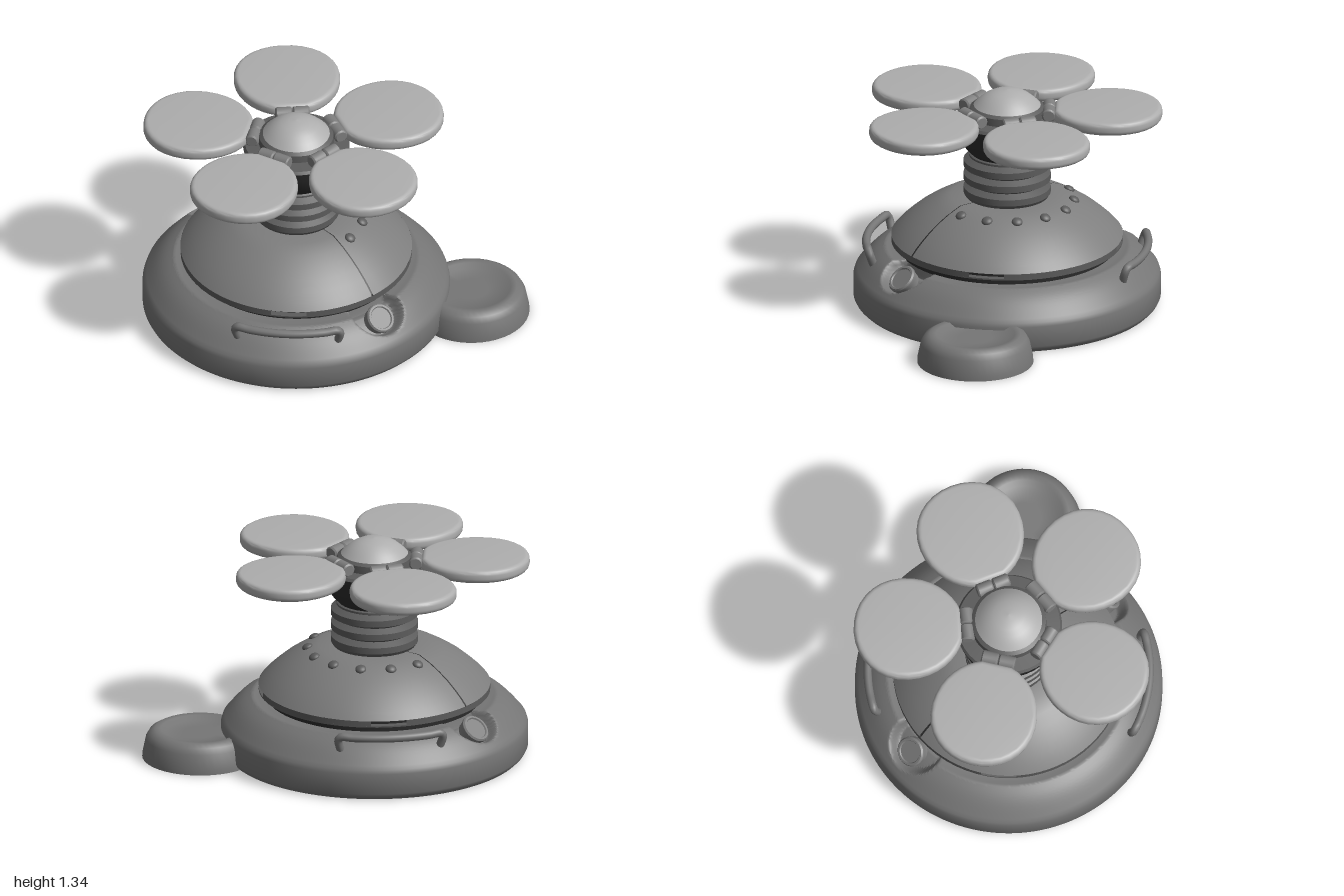
import * as THREE from 'three';
import { toCreasedNormals, mergeVertices } from 'three/addons/utils/BufferGeometryUtils.js';

const paint = (color) => new THREE.MeshStandardMaterial({ color, side: THREE.DoubleSide });
const baseGrey = paint(0x767676);
const domeGrey = paint(0x7e7e7e);
const neckGrey = paint(0x5c5c5c);
const petalGrey = paint(0xaeaeae);
const dark = paint(0x2c2c2c);

function add(parent, name, geometry, material) {
  const mesh = new THREE.Mesh(geometry, material);
  mesh.name = name;
  parent.add(mesh);
  return mesh;
}

// Turned part from [radius, height] points, optionally only an arc of it
function turned(points, segments = 48, start = 0, length = Math.PI * 2) {
  return new THREE.LatheGeometry(points.map(([r, y]) => new THREE.Vector2(r, y)), segments, start, length);
}
const crease = (g, angle = 0.5) => toCreasedNormals(g, angle);

// Point at an angle around the axis, 0 = front
const polar = (angle, r, y) => new THREE.Vector3(r * Math.sin(angle), y, r * Math.cos(angle));

// Open base shell; its shoulder sinks into a pocket at the front and the back
function baseGeometry() {
  const profile = [[0.885, 0], [0.905, 0.02], [0.915, 0.04], [0.915, 0.165], [0.907, 0.19]];
  for (let i = 0; i <= 24; i++) {
    const t = i / 24;
    profile.push([0.89 - 0.16 * t, 0.21 + 0.135 * t + 0.016 * Math.sin(Math.PI * t)]);
  }
  profile.push([0.715, 0.344], [0.70, 0.342], [0.68, 0.341], [0.63, 0.34]);
  const g = turned(profile, 400);
  const p = g.attributes.position;
  const v = new THREE.Vector3();
  for (let i = 0; i < p.count; i++) {
    v.fromBufferAttribute(p, i);
    const side = v.z < 0 ? -1 : 1;
    const d = Math.hypot(v.x, v.y - 0.345, v.z - side * 0.73);
    const rim = THREE.MathUtils.smoothstep(Math.hypot(v.x, v.z), 0.64, 0.70);
    const push = 0.085 * rim * (1 - THREE.MathUtils.smoothstep(d, 0.14, 0.178));
    p.setXYZ(i, v.x, v.y - push * 0.76, v.z - side * push * 0.65);
  }
  return crease(g, 1);
}

// Side lug: a hollow dished cup whose inner side follows the base wall
function lugGeometry() {
  const g = turned([[0.346, 0], [0.344, 0.03], [0.325, 0.12], [0.305, 0.155], [0.27, 0.175],
    [0.235, 0.173], [0.205, 0.15], [0.1, 0.15], [0, 0.15]], 48);
  g.translate(0.739, 0, 0.739);
  const p = g.attributes.position;
  for (let i = 0; i < p.count; i++) {
    const r = Math.hypot(p.getX(i), p.getZ(i));
    if (r < 0.88) p.setXYZ(i, p.getX(i) * 0.88 / r, p.getY(i), p.getZ(i) * 0.88 / r);
  }
  return crease(g, 0.8);
}

// Petal outline pointing along +y, before its rounded edge is added
function petalShape() {
  const s = new THREE.Shape();
  s.moveTo(-0.085, 0.31);
  s.bezierCurveTo(-0.18, 0.34, -0.289, 0.45, -0.289, 0.617);
  s.bezierCurveTo(-0.289, 0.785, -0.16, 0.897, 0, 0.897);
  s.bezierCurveTo(0.16, 0.897, 0.289, 0.785, 0.289, 0.617);
  s.bezierCurveTo(0.289, 0.45, 0.18, 0.34, 0.085, 0.31);
  s.closePath();
  return s;
}

function petalGeometry() {
  const g = new THREE.ExtrudeGeometry(petalShape(), {
    depth: 0.022, bevelThickness: 0.028, bevelSize: 0.028, bevelSegments: 4, curveSegments: 8,
  });
  g.rotateX(Math.PI / 2);
  g.deleteAttribute('normal');
  g.deleteAttribute('uv');
  return crease(mergeVertices(g), 0.7);
}

export function createModel() {
  const model = new THREE.Group();
  model.name = 'flowerDevice';
  const body = new THREE.Group();
  body.name = 'body';
  body.position.set(-0.085, 0, -0.085);
  model.add(body);

  add(body, 'baseShell', baseGeometry(), baseGrey);
  add(body, 'sideLug', lugGeometry(), baseGrey);

  // Plate closing the dome from below, groove wall and underside of the dome rim
  add(body, 'domeCore', crease(turned([[0, 0.335], [0.645, 0.335], [0.65, 0.42], [0.69, 0.42]], 64)), dark);

  // Dome in two halves, with a dark strip behind the seam at front and back
  const dome = [[0.69, 0.42], [0.655, 0.46], [0.61, 0.502], [0.555, 0.548], [0.49, 0.592],
    [0.42, 0.632], [0.335, 0.668], [0.2, 0.668]];
  const lining = dome.map(([r, y]) => [r - 0.006, y - 0.006]);
  for (const start of [0, Math.PI]) {
    add(body, 'domeHalf', crease(turned(dome, 36, start + 0.009, Math.PI - 0.018)), domeGrey);
    add(body, 'seamStrip', turned(lining, 2, start - 0.03, 0.06), dark);
  }

  // Rim skirt: a thin lip with four arcs above it, leaving slots on the diagonals
  add(body, 'domeLip', crease(turned([[0.65, 0.381], [0.69, 0.381], [0.69, 0.39], [0.65, 0.39]], 64)), neckGrey);
  for (let i = 0; i < 4; i++) {
    const half = Math.PI / 4 - 0.155;
    add(body, 'domeRim', turned([[0.69, 0.39], [0.69, 0.42]], 18,
      i * Math.PI / 2 - half, half * 2), neckGrey);
  }

  // Row of studs along the left side of the dome
  for (let i = 0; i < 7; i++) {
    const angle = THREE.MathUtils.degToRad(12 + 26 * i);
    const stud = add(body, 'stud', new THREE.SphereGeometry(0.033, 16, 10), neckGrey);
    stud.scale.y = 0.6;
    stud.position.copy(polar(angle, 0.4, 0.643));
    stud.rotation.set(0.45, angle, 0, 'YXZ');
  }

  // Tilted round buttons sitting in the pockets
  const button = crease(turned([[0.08, -0.05], [0.083, -0.015], [0.09, 0], [0.09, 0.012], [0.082, 0.022],
    [0.07, 0.022], [0.065, 0.014], [0, 0.014]], 32));
  for (const angle of [0, Math.PI]) {
    const b = add(body, 'button', button, domeGrey);
    b.position.copy(polar(angle, 0.755, 0.287));
    b.rotation.set(0.76, angle, 0, 'YXZ');
  }

  // Curved carrying handles on two opposite diagonals
  for (const mid of [-Math.PI / 4, Math.PI * 3 / 4]) {
    const path = [polar(mid - 0.37, 0.80, 0.25), polar(mid - 0.385, 0.835, 0.345)];
    for (let i = -4; i <= 4; i++) path.push(polar(mid + i * 0.0915, 0.84, 0.367));
    path.push(polar(mid + 0.385, 0.835, 0.345), polar(mid + 0.37, 0.80, 0.25));
    const curve = new THREE.CatmullRomCurve3(path, false, 'centripetal');
    add(body, 'handle', new THREE.TubeGeometry(curve, 48, 0.025, 12), baseGrey);
  }

  // Bellows neck: three ribs with narrow waists
  const neck = [];
  for (let i = 0; i < 3; i++) {
    const y = 0.665 + i * 0.085;
    neck.push([i ? 0.216 : 0.245, y], [0.26, y + 0.023], [0.26, y + 0.062], [0.216, y + 0.085]);
  }
  neck.push([0.228, 0.925], [0.228, 0.937], [0.214, 0.945]);
  add(body, 'bellowsNeck', crease(turned(neck, 40), 0.4), neckGrey);

  // Flower cup, its rim and the rounded centre
  add(body, 'flowerCup', turned([[0.214, 0.94], [0.25, 0.978], [0.288, 1.035],
    [0.308, 1.1], [0.318, 1.155]], 40), dark);
  add(body, 'flowerCollar', crease(turned([[0.318, 1.155], [0.306, 1.172], [0.225, 1.18],
    [0.222, 1.225], [0.2, 1.24]], 40)), neckGrey);
  add(body, 'flowerCentre', turned([[0.2, 1.24], [0.172, 1.268], [0.135, 1.298], [0.092, 1.32],
    [0.045, 1.332], [0, 1.336]], 40), petalGrey);

  // Five petals with shaded undersides, each on a two-knuckle hinge
  const petal = petalGeometry();
  const underside = new THREE.ShapeGeometry(petalShape(), 8).rotateX(Math.PI / 2);
  const knuckle = crease(turned([[0, -0.05], [0.033, -0.05], [0.042, -0.042], [0.042, 0.042],
    [0.033, 0.05], [0, 0.05]], 16), 0.6).rotateZ(Math.PI / 2);
  for (let i = 0; i < 5; i++) {
    const arm = new THREE.Group();
    arm.name = 'petalArm';
    arm.rotation.y = i * Math.PI * 2 / 5;
    body.add(arm);
    add(arm, 'petal', petal, petalGrey).position.y = 1.21;
    add(arm, 'petalUnderside', underside, dark).position.y = 1.158;
    for (const s of [-1, 1]) add(arm, 'hinge', knuckle, domeGrey).position.set(s * 0.052, 1.205, 0.25);
  }
  return model;
}
